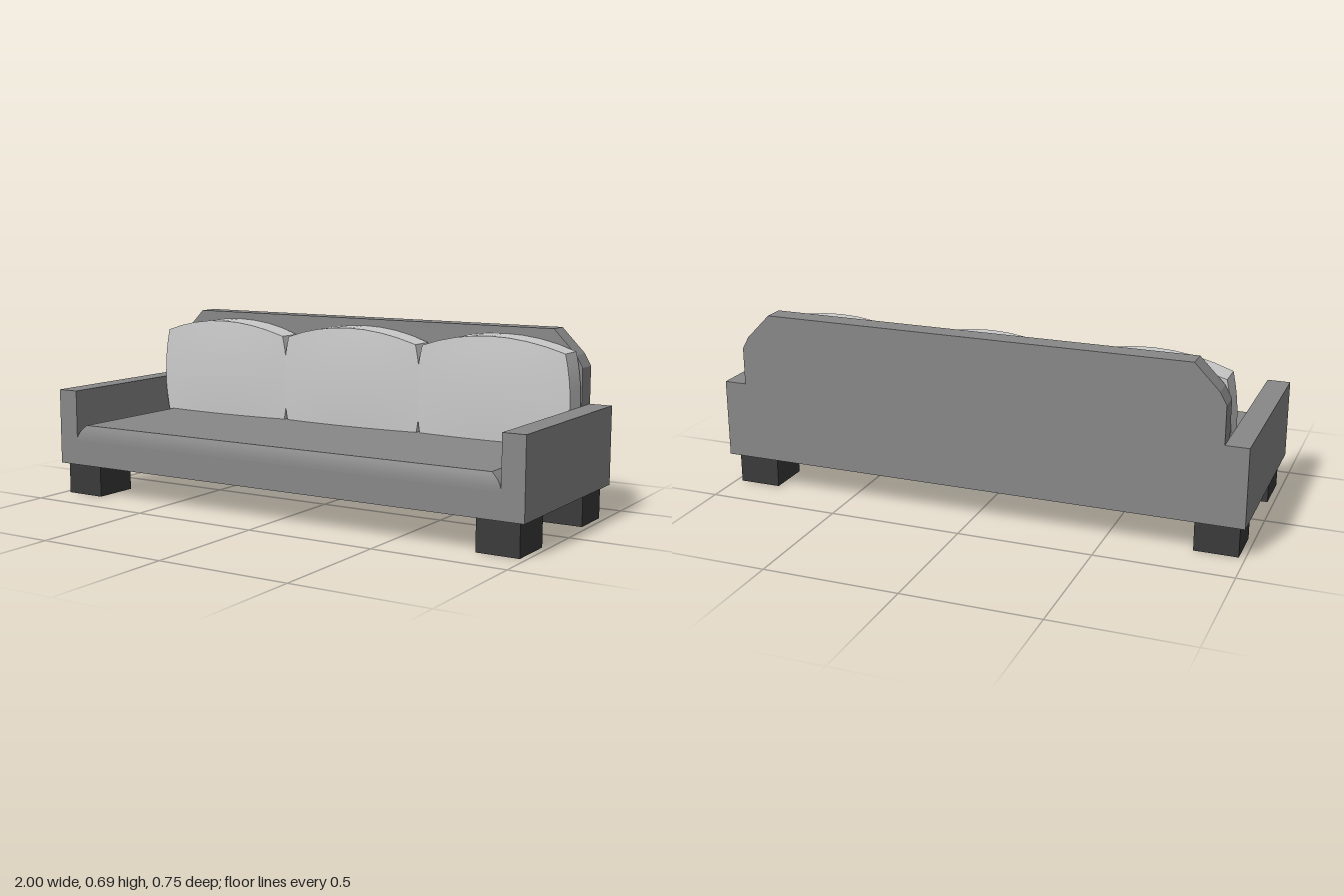
import * as THREE from 'three';

const mat = (color) => new THREE.MeshStandardMaterial({ color });
const fabric = mat(0x888888);
const cushionFabric = mat(0xcccccc);
const legMat = mat(0x3a3a3a);

function add(group, name, geometry, material) {
  const mesh = new THREE.Mesh(geometry, material);
  mesh.name = name;
  group.add(mesh);
  return mesh;
}

// Outline in x/y, extruded from z0 to z1
function slab(points, z0, z1) {
  const shape = new THREE.Shape(points.map(([x, y]) => new THREE.Vector2(x, y)));
  return new THREE.ExtrudeGeometry(shape, { depth: z1 - z0, bevelEnabled: false }).translate(0, 0, z0);
}

// Box whose vertices, each coordinate in -1..1, are moved by a rule
function shapedBox(sx, sy, sz, rule) {
  const geo = new THREE.BoxGeometry(2, 2, 2, sx, sy, sz);
  const p = geo.attributes.position;
  for (let i = 0; i < p.count; i++) p.setXYZ(i, ...rule(p.getX(i), p.getY(i), p.getZ(i)));
  geo.computeVertexNormals();
  return geo;
}

export function createModel() {
  const sofa = new THREE.Group();
  sofa.name = 'sofa';

  // Base and both arms, one U-shaped outline
  add(sofa, 'baseAndArms', slab([
    [-1, 0.122], [1, 0.122], [1, 0.415], [0.915, 0.415],
    [0.915, 0.22], [-0.915, 0.22], [-0.915, 0.415], [-1, 0.415],
  ], -0.375, 0.375), fabric);

  // Seat, rounding inward towards its top at the arms and the front
  add(sofa, 'seat', shapedBox(12, 5, 4, (u, v, w) => {
    const t = (v + 1) / 2;
    const inset = t * t;
    return [
      u * (0.915 - 0.04 * inset),
      0.22 + 0.06 * t,
      w > 0 ? w * (0.375 - 0.013 * inset) : w * 0.34,
    ];
  }), fabric);

  // Backrest with cut upper corners
  add(sofa, 'backrest', slab([
    [-0.915, 0.22], [0.915, 0.22], [0.915, 0.555], [0.89, 0.6], [0.8, 0.692],
    [-0.8, 0.692], [-0.89, 0.6], [-0.915, 0.555],
  ], -0.375, -0.295), fabric);

  // Three plump back cushions with arched tops
  for (const x of [-0.605, 0, 0.605]) {
    add(sofa, 'backCushion', shapedBox(8, 8, 3, (u, v, w) => {
      const across = 1 - u * u;
      const up = 1 - v * v;
      const top = 0.615 + 0.05 * across;
      const front = -0.185 + 0.015 * across + 0.01 * across * up;
      const back = -0.285 - 0.012 * across;
      return [
        x + u * (0.288 + 0.022 * up),
        THREE.MathUtils.lerp(0.25, top, (v + 1) / 2),
        THREE.MathUtils.lerp(back, front, (w + 1) / 2),
      ];
    }), cushionFabric);
  }

  // Block legs, the front pair slightly deeper
  for (const side of [-1, 1]) {
    for (const [name, z0, z1] of [['frontLeg', 0.175, 0.355], ['backLeg', -0.34, -0.175]]) {
      const leg = add(sofa, name, new THREE.BoxGeometry(0.16, 0.124, z1 - z0), legMat);
      leg.position.set(side * 0.897, 0.062, (z0 + z1) / 2);
    }
  }

  return sofa;
}
